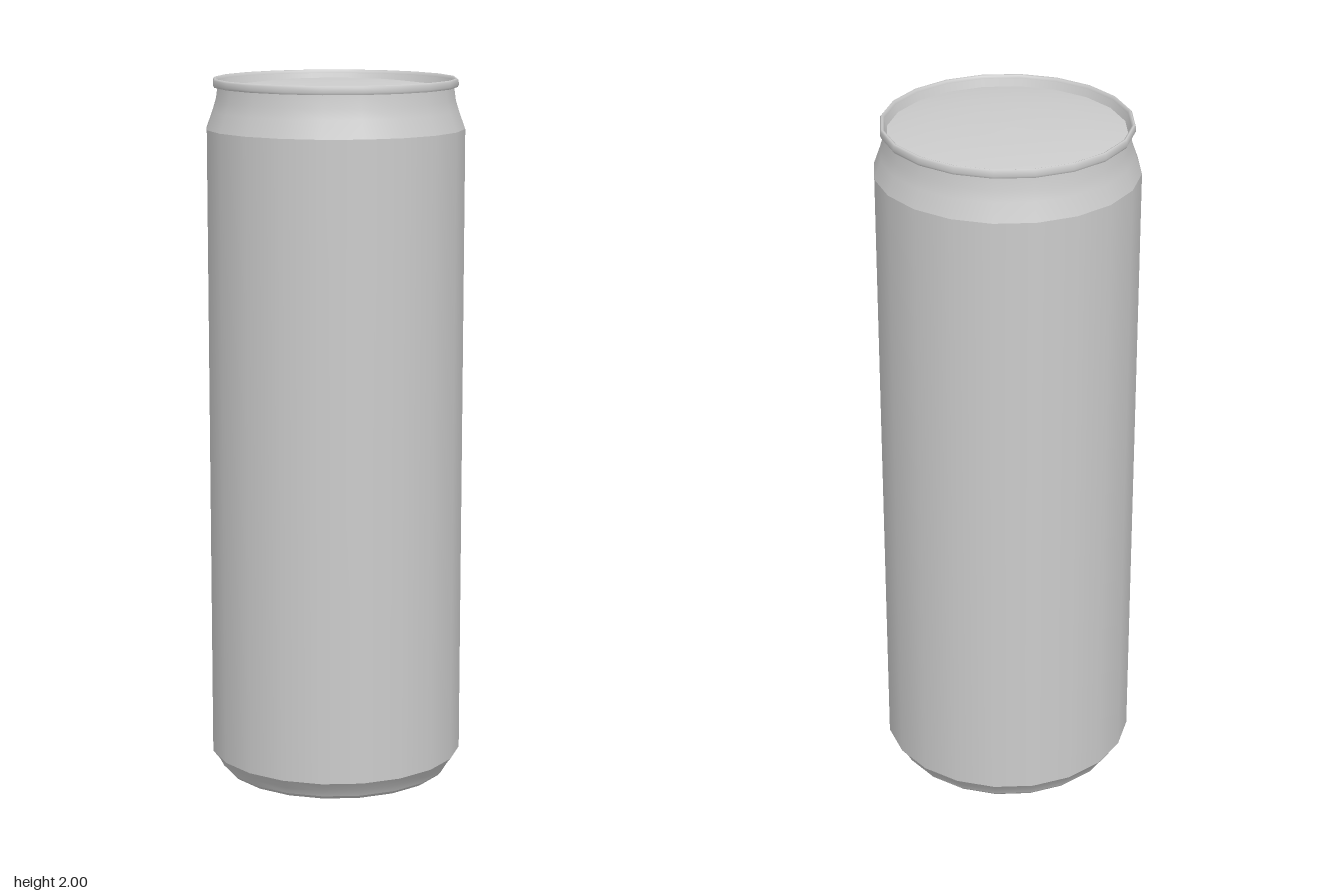
import * as THREE from 'three';

const SIDES = 20;
const material = new THREE.MeshStandardMaterial({ color: 0xcccccc });

// Revolve a profile of [radius, height] pairs, ordered so that faces point outward
function turned(name, profile) {
  const points = profile.map(([r, y]) => new THREE.Vector2(r, y));
  const mesh = new THREE.Mesh(new THREE.LatheGeometry(points, SIDES), material);
  mesh.name = name;
  return mesh;
}

export function createModel() {
  const can = new THREE.Group();
  can.name = 'drinkCan';

  // Hollow dome pressed into the underside
  can.add(turned('baseDome', [[0, 0.105], [0.11, 0.1], [0.21, 0.07], [0.285, 0.02]]));
  // Narrow ring the can stands on, and the chamfer up to the body
  can.add(turned('footRing', [[0.285, 0.02], [0.295, 0.004], [0.307, 0], [0.322, 0.003], [0.332, 0.013]]));
  can.add(turned('baseChamfer', [[0.332, 0.013], [0.342, 0.033], [0.363, 0.06]]));
  // Straight wall
  can.add(turned('body', [[0.363, 0.06], [0.363, 1.86]]));
  // Shoulder narrowing to the neck
  can.add(turned('shoulder', [[0.363, 1.86], [0.345, 1.91], [0.336, 1.94], [0.331, 1.976]]));
  // Seamed rim: underside, outer edge, top and inner wall
  can.add(turned('rimUnderside', [[0.331, 1.976], [0.341, 1.976]]));
  can.add(turned('rim', [[0.341, 1.976], [0.344, 1.982], [0.343, 1.995], [0.339, 2], [0.334, 1.998], [0.332, 1.99]]));
  can.add(turned('rimInnerWall', [[0.332, 1.99], [0.325, 1.969]]));
  // Gently domed lid
  can.add(turned('lid', [[0.325, 1.969], [0.29, 1.975], [0.21, 1.985], [0.11, 1.991], [0, 1.993]]));

  return can;
}
